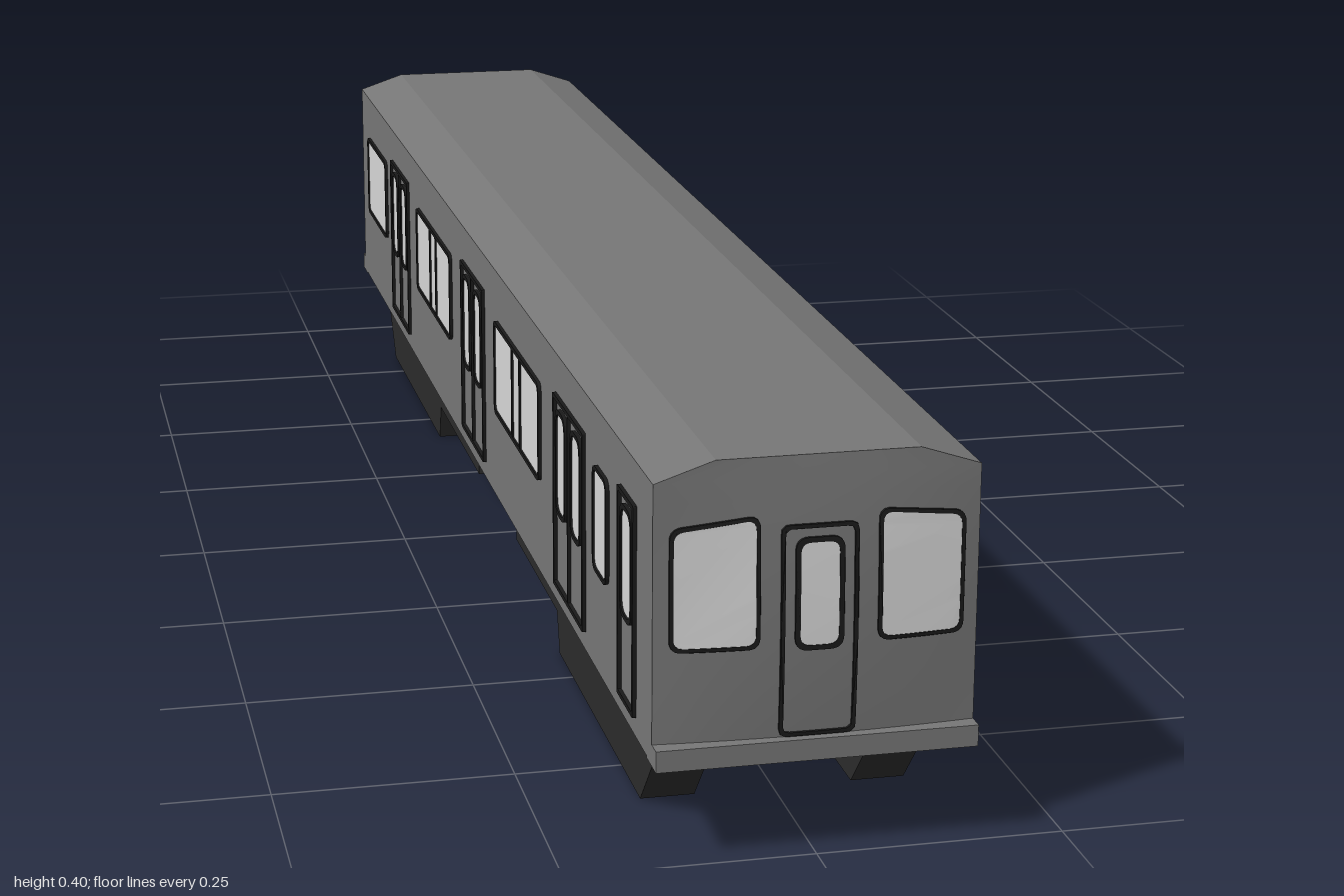
import * as THREE from 'three';

const mat = (name, color) => {
  const m = new THREE.MeshStandardMaterial({ color });
  m.name = name;
  return m;
};

export function createModel() {
  const model = new THREE.Group();
  model.name = 'railCar';
  const bodyMat = mat('bodyGrey', 0x777777);
  const trimMat = mat('darkTrim', 0x1a1a1a);
  const glassMat = mat('paleGlass', 0xd9d9d9);
  const underMat = mat('underframeBlack', 0x2c2c2c);

  const add = (name, geo, material, parent = model) => {
    const m = new THREE.Mesh(geo, material);
    m.name = name;
    parent.add(m);
    return m;
  };

  // Polygon with rounded corners
  const rounded = (pts, r) => {
    const s = new THREE.Shape();
    const v = pts.map((p) => new THREE.Vector2(...p));
    v.forEach((p, i) => {
      const prev = v[(i + v.length - 1) % v.length], next = v[(i + 1) % v.length];
      const a = p.clone().add(prev.clone().sub(p).setLength(r));
      const b = p.clone().add(next.clone().sub(p).setLength(r));
      if (i) s.lineTo(a.x, a.y); else s.moveTo(a.x, a.y);
      s.quadraticCurveTo(p.x, p.y, b.x, b.y);
    });
    s.closePath();
    return s;
  };
  // Rectangle whose top may slope, inset by d
  const pane = (x0, x1, y0, yl, yr, r, d = 0) => rounded(
    [[x0 + d, y0 + d], [x1 - d, y0 + d], [x1 - d, yr - d], [x0 + d, yl - d]], Math.max(r - d / 2, 0.001));

  // Body shell
  const half = 0.982;
  const section = new THREE.Shape([[-0.16, 0.1], [0.16, 0.1], [0.16, 0.38], [0.1, 0.4], [-0.1, 0.4], [-0.16, 0.38]]
    .map((p) => new THREE.Vector2(...p)));
  add('bodyShell', new THREE.ExtrudeGeometry(section, { depth: 2 * half, bevelEnabled: false })
    .translate(0, 0, -half), bodyMat);

  // Gently bowed cab ends
  const bulge = (x, y) => half + 0.01 * (1 - (x / 0.16) ** 2) * Math.max(0, 1 - ((y - 0.22) / 0.18) ** 2);
  const bow = (geo, offset) => {
    const p = geo.attributes.position;
    for (let i = 0; i < p.count; i++) p.setZ(i, bulge(p.getX(i), p.getY(i)) + offset + p.getZ(i));
    geo.computeVertexNormals();
    return geo;
  };
  const endSkin = () => {
    const g = new THREE.PlaneGeometry(2, 0.3, 12, 15).translate(0, 0.25, 0);
    const p = g.attributes.position;
    for (let i = 0; i < p.count; i++) {
      const y = p.getY(i);
      p.setX(i, p.getX(i) * (y > 0.381 ? 0.1 + (0.4 - y) * 3 : 0.16));
    }
    return bow(g, 0.0005);
  };
  const endFrame = (group, name, args, width, glazed) => {
    const ring = new THREE.Shape(pane(...args).getSpacedPoints(96));
    const inner = pane(...args, width).getSpacedPoints(96);
    ring.holes.push(new THREE.Path(inner));
    add(name + 'Frame', bow(new THREE.ExtrudeGeometry(ring, { depth: 0.003, bevelEnabled: false }), 0.001), trimMat, group);
    if (glazed) add(name + 'Glass', bow(new THREE.ShapeGeometry(new THREE.Shape(inner)), 0.0033), glassMat, group);
  };
  for (const [name, turn] of [['frontEnd', 0], ['backEnd', Math.PI]]) {
    const end = new THREE.Group();
    end.name = name;
    end.rotation.y = turn;
    model.add(end);
    add('endWall', endSkin(), bodyMat, end);
    add('bufferLedge', new THREE.BoxGeometry(0.32, 0.022, 0.04).translate(0, 0.109, 0.98), bodyMat, end);
    endFrame(end, 'leftWindow', [0.058, 0.145, 0.213, 0.345, 0.336, 0.012], 0.004, true);
    endFrame(end, 'rightWindow', [-0.145, -0.058, 0.213, 0.336, 0.345, 0.012], 0.004, true);
    endFrame(end, 'endDoor', [-0.038, 0.038, 0.121, 0.334, 0.334, 0.008], 0.004, false);
    endFrame(end, 'endDoorWindow', [-0.024, 0.024, 0.209, 0.321, 0.321, 0.013], 0.005, true);
  }

  // Doors and windows along each side
  for (const s of [1, -1]) {
    const side = new THREE.Group();
    side.name = s > 0 ? 'leftSide' : 'rightSide';
    model.add(side);
    const place = (g) => g.rotateY(s * Math.PI / 2).translate(s * 0.16, 0, 0);
    const frame = (name, z0, z1, y0, y1, r, width, glazed) => {
      const [u0, u1] = [-s * z0, -s * z1].sort((a, b) => a - b);
      const args = [u0, u1, y0, y1, y1, r];
      const ring = pane(...args), inner = pane(...args, width);
      ring.holes.push(new THREE.Path(inner.getPoints(6)));
      add(name + 'Frame', place(new THREE.ExtrudeGeometry(ring, { depth: 0.004, bevelEnabled: false, curveSegments: 6 })), trimMat, side);
      if (glazed) add(name + 'Glass', place(new THREE.ShapeGeometry(inner, 6).translate(0, 0, 0.002)), glassMat, side);
    };
    const bar = (name, z, y0, y1, w) => add(name,
      new THREE.BoxGeometry(0.004, y1 - y0, w).translate(s * 0.162, (y0 + y1) / 2, z), trimMat, side);

    frame('crewDoor', 0.915, 0.843, 0.12, 0.337, 0.002, 0.005, false);
    frame('crewDoorWindow', 0.906, 0.854, 0.208, 0.325, 0.018, 0.005, true);
    frame('smallWindow', 0.791, 0.725, 0.21, 0.322, 0.014, 0.004, true);
    for (const z of [0.598, 0.004, -0.594]) {
      frame('slidingDoor', z + 0.078, z - 0.078, 0.12, 0.337, 0.002, 0.005, false);
      bar('doorSeam', z, 0.124, 0.333, 0.003);
      for (const d of [0.039, -0.039])
        frame('doorWindow', z + d + 0.026, z + d - 0.026, 0.206, 0.325, 0.018, 0.005, true);
    }
    for (const z of [0.299, -0.297]) {
      frame('wideWindow', z + 0.139, z - 0.139, 0.208, 0.322, 0.012, 0.005, true);
      for (const d of [0.025, -0.022]) bar('windowDivider', z + d, 0.211, 0.319, 0.006);
    }
    frame('rearWindow', -0.724, -0.907, 0.208, 0.322, 0.012, 0.005, true);
  }

  // Underframe: profiles in (z, y), extruded across the width
  const under = (name, pts, x0, x1) => {
    const shape = new THREE.Shape(pts.map(([z, y]) => new THREE.Vector2(-z, y)));
    add(name, new THREE.ExtrudeGeometry(shape, { depth: x1 - x0, bevelEnabled: false })
      .rotateY(Math.PI / 2).translate(x0, 0, 0), underMat);
  };
  const frontSkirt = [[0.907, 0.1], [0.907, 0.076], [0.837, 0], [0.425, 0], [0.41, 0.046], [0.16, 0.046], [0.16, 0.1]];
  const rearSkirt = [[-0.1, 0.1], [-0.1, 0.046], [-0.402, 0.046], [-0.416, 0], [-0.828, 0], [-0.892, 0.076], [-0.892, 0.1]];
  for (const x0 of [-0.138, 0.082]) {
    under('frontSkirt', frontSkirt, x0, x0 + 0.056);
    under('rearSkirt', rearSkirt, x0, x0 + 0.056);
  }
  under('frontBogieDeck', [[0.907, 0.1], [0.907, 0.076], [0.888, 0.055], [0.16, 0.055], [0.16, 0.1]], -0.082, 0.082);
  under('rearBogieDeck', [[-0.1, 0.1], [-0.1, 0.055], [-0.874, 0.055], [-0.892, 0.076], [-0.892, 0.1]], -0.082, 0.082);

  // Small equipment bracket between the bogies
  add('bracketBeam', new THREE.BoxGeometry(0.2, 0.02, 0.05).translate(0, 0.09, 0.012), underMat);
  for (const x of [-0.08, 0.08])
    add('bracketFoot', new THREE.BoxGeometry(0.04, 0.033, 0.05).translate(x, 0.0835, 0.012), underMat);

  return model;
}
